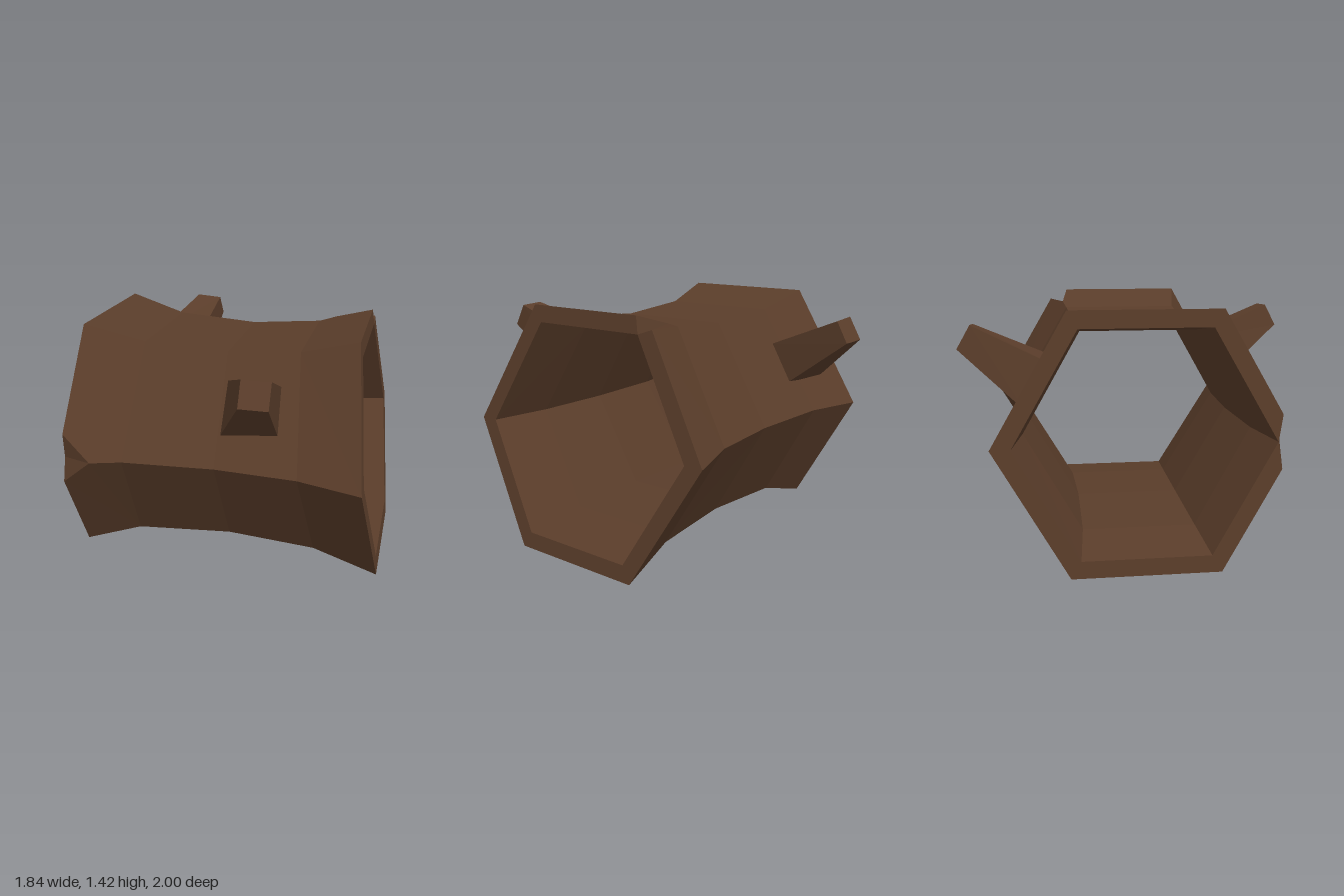
import * as THREE from 'three';

const material = new THREE.MeshStandardMaterial({ color: 0x5a3d2a, flatShading: true });

// Flat-shaded geometry from convex faces, each fanned from its first corner
function facetGeometry(faces) {
  const pos = [];
  for (const f of faces) {
    for (let i = 1; i < f.length - 1; i++) {
      for (const p of [f[0], f[i], f[i + 1]]) pos.push(p.x, p.y, p.z);
    }
  }
  const g = new THREE.BufferGeometry();
  g.setAttribute('position', new THREE.Float32BufferAttribute(pos, 3));
  g.computeVertexNormals();
  return g;
}

function addMesh(group, name, faces) {
  const mesh = new THREE.Mesh(facetGeometry(faces), material);
  mesh.name = name;
  group.add(mesh);
}

// Rings along the log: x at mid height, lean of the ring, outer and inner radius
const MID = 0.71;
const rings = [
  { x: -0.88, lean: 0.056, outer: 0.82, inner: 0.71 },
  { x: -0.535, lean: 0.075, outer: 0.71, inner: 0.65 },
  { x: 0, lean: 0, outer: 0.675, inner: 0.63 },
  { x: 0.475, lean: -0.09, outer: 0.71, inner: 0.65 },
  { x: 0.835, lean: -0.12, outer: 0.82, inner: 0.71 },
];

// Split corners: end ring, hexagon corner, width along the rim, length along the log
const notches = [
  { ring: 0, corner: 0, width: 0.21, length: 0.5 },
  { ring: 4, corner: 2, width: 0.09, length: 0.68 },
];

function ringPoint(s, corner, layer) {
  const { x, lean, [layer]: r } = rings[s];
  const a = (corner % 6) * Math.PI / 3;
  const dy = r * Math.sin(a);
  return new THREE.Vector3(x + lean * dy, MID + dy, -0.01 + r * Math.cos(a));
}

function hollowLogFaces() {
  const faces = [];
  const add = (pts, flip) => faces.push(flip ? pts.reverse() : pts);
  const last = rings.length - 1;

  for (let a = 0; a < 6; a++) {
    const b = a + 1;
    for (let s = 0; s < last; s++) {
      const inner = [ringPoint(s, a, 'inner'), ringPoint(s + 1, a, 'inner'),
        ringPoint(s + 1, b, 'inner'), ringPoint(s, b, 'inner')];
      add(inner, true);
      if (s > 0 && s < last - 1) {
        add([ringPoint(s, a, 'outer'), ringPoint(s + 1, a, 'outer'),
          ringPoint(s + 1, b, 'outer'), ringPoint(s, b, 'outer')], false);
      }
    }

    // End panels with rim and any split corner
    for (const end of [0, last]) {
      const near = end === 0 ? 1 : last - 1;
      const flip = end === 0;
      const corner = (c, other) => {
        const tip = ringPoint(end, c, 'outer');
        const n = notches.find((k) => k.ring === end && k.corner === c % 6);
        if (!n) return { tip, apex: [] };
        return {
          tip: tip.clone().lerp(ringPoint(end, other, 'outer'), n.width),
          apex: [tip.clone().lerp(ringPoint(near, c, 'outer'), n.length)],
        };
      };
      const A = corner(a, b), B = corner(b, a);
      const inA = ringPoint(end, a, 'inner'), inB = ringPoint(end, b, 'inner');
      add([A.tip, B.tip, ...B.apex, ringPoint(near, b, 'outer'),
        ringPoint(near, a, 'outer'), ...A.apex], flip);
      add([A.tip, inA, inB, B.tip], flip);
      if (A.apex.length) add([A.apex[0], inA, A.tip], flip);
      if (B.apex.length) add([B.apex[0], B.tip, inB], flip);
    }
  }
  return faces;
}

// Tapered stub from four base corners to four tip corners
function stubFaces(base, tip) {
  const t = tip.map((p) => new THREE.Vector3(...p));
  // sink the base a little into the wall
  const b = base.map((p, i) => new THREE.Vector3(...p).lerp(t[i], -0.04));
  const faces = [t, [...b].reverse()];
  for (let i = 0; i < 4; i++) {
    const j = (i + 1) % 4;
    faces.push([b[i], b[j], t[j], t[i]]);
  }
  return faces;
}

export function createModel() {
  const group = new THREE.Group();
  group.name = 'hollowLog';

  addMesh(group, 'logShell', hollowLogFaces());

  addMesh(group, 'frontBranchStub', stubFaces(
    [[0.015, 0.88, 0.57], [0.34, 0.9, 0.56], [0.33, 1.14, 0.42], [0.02, 1.15, 0.41]],
    [[0.22, 1.215, 1.0], [0.375, 1.21, 0.99], [0.375, 1.34, 0.92], [0.22, 1.345, 0.93]],
  ));

  addMesh(group, 'backBranchStub', stubFaces(
    [[-0.42, 0.9, -0.6], [-0.715, 0.9, -0.66], [-0.715, 1.14, -0.52], [-0.42, 1.125, -0.47]],
    [[-0.38, 1.185, -0.99], [-0.54, 1.19, -1.0], [-0.545, 1.32, -0.925], [-0.385, 1.31, -0.92]],
  ));

  return group;
}
